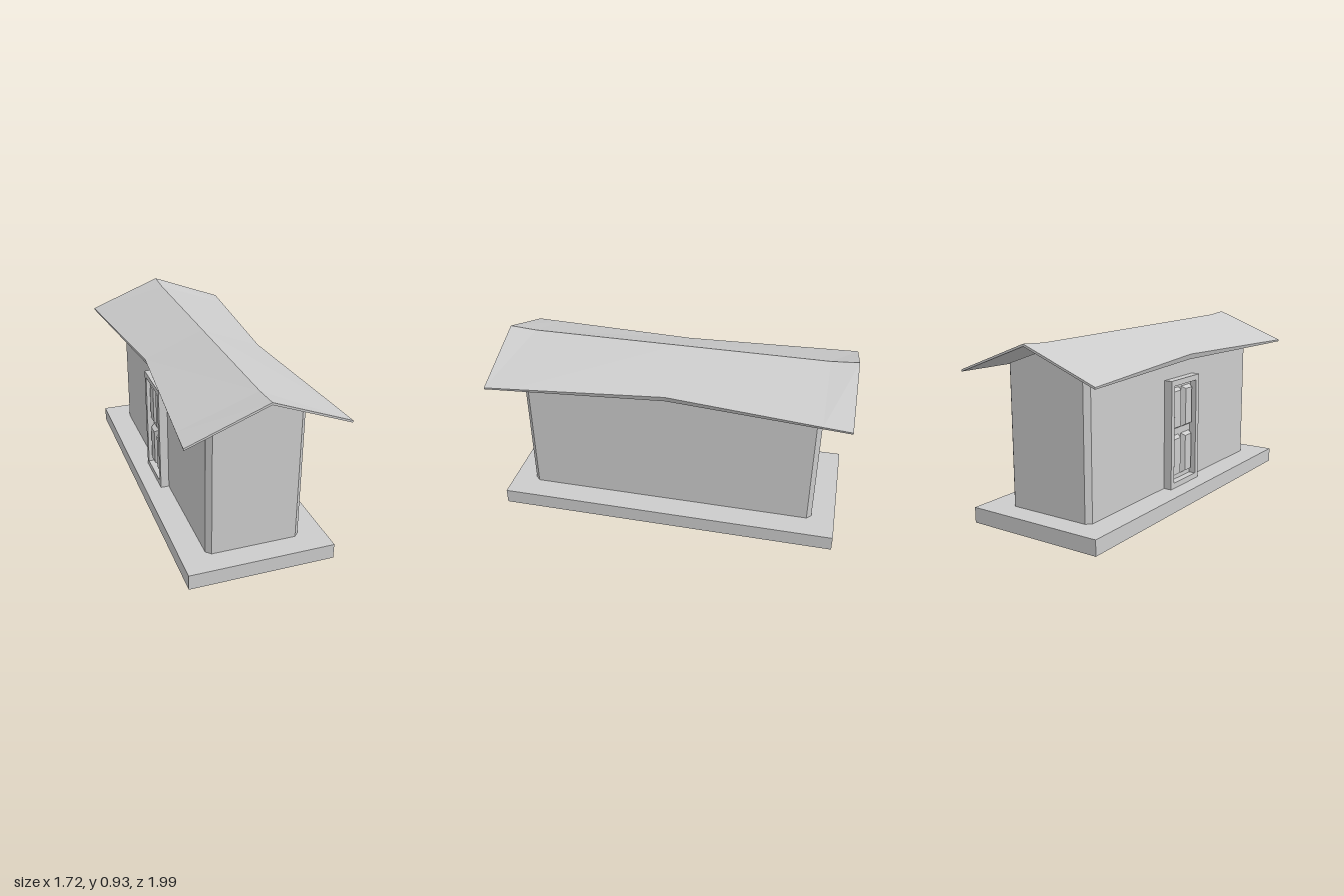
import * as THREE from 'three';
import { ConvexGeometry } from 'three/addons/geometries/ConvexGeometry.js';

const material = new THREE.MeshStandardMaterial({ color: 0xcccccc, flatShading: true });

function add(parent, name, geometry, x = 0, y = 0, z = 0) {
  const mesh = new THREE.Mesh(geometry, material);
  mesh.name = name;
  mesh.position.set(x, y, z);
  parent.add(mesh);
  return mesh;
}

// Walls: rectangle with chamfered corners, rising to a gable along z
function wallsGeometry() {
  const a = 0.246, b = 0.789, c = 0.025, apex = 0.885, slope = 0.36;
  const points = [];
  for (const sx of [-1, 1]) for (const sz of [-1, 1]) {
    for (const [x, z] of [[a, b - c], [a - c, b]]) {
      points.push(new THREE.Vector3(sx * x, 0.07, sz * z));
      points.push(new THREE.Vector3(sx * x, apex - slope * x, sz * z));
    }
  }
  for (const sz of [-1, 1]) points.push(new THREE.Vector3(0, apex, sz * b));
  return new ConvexGeometry(points);
}

// Roof: thin gabled slab lofted along z, its eaves pinched in at mid-length
function roofGeometry() {
  // z, ridge height, top eave (x, y), bottom eave (x, y), ridge thickness
  const end = [0.933, 0.93, 0.402, 0.776, 0.4, 0.766, 0.012];
  const inner = [0.79, 0.92, 0.39, 0.779, 0.386, 0.766, 0.014];
  const middle = [0, 0.92, 0.32, 0.795, 0.31, 0.766, 0.015];
  const flip = ([z, ...rest]) => [-z, ...rest];
  const rings = [flip(end), flip(inner), middle, inner, end].map(
    ([z, ridge, tx, ty, bx, by, t]) => [
      [0, ridge, z], [tx, ty, z], [bx, by, z],
      [0, ridge - t, z], [-bx, by, z], [-tx, ty, z],
    ]);
  const positions = [];
  const quad = (p, q, r, s) => positions.push(...p, ...q, ...r, ...p, ...r, ...s);
  for (let k = 0; k < rings.length - 1; k++) {
    for (let j = 0; j < 6; j++) {
      const n = (j + 1) % 6;
      quad(rings[k][j], rings[k + 1][j], rings[k + 1][n], rings[k][n]);
    }
  }
  const back = rings[0], front = rings[rings.length - 1];
  quad(front[0], front[3], front[2], front[1]);
  quad(front[0], front[5], front[4], front[3]);
  quad(back[0], back[1], back[2], back[3]);
  quad(back[0], back[3], back[4], back[5]);
  const geometry = new THREE.BufferGeometry();
  geometry.setAttribute('position', new THREE.Float32BufferAttribute(positions, 3));
  geometry.computeVertexNormals();
  return geometry;
}

// Raised door panel: box whose outer face shrinks to a bevel
function panelGeometry(w, h, d, bevel) {
  const geometry = new THREE.BoxGeometry(w, h, d);
  const p = geometry.attributes.position;
  for (let i = 0; i < p.count; i++) {
    if (p.getZ(i) > 0) {
      p.setX(i, p.getX(i) - Math.sign(p.getX(i)) * bevel);
      p.setY(i, p.getY(i) - Math.sign(p.getY(i)) * bevel);
    }
  }
  geometry.computeVertexNormals();
  return geometry;
}

// Door facing +z, standing on y = 0
function createDoor() {
  const door = new THREE.Group();
  door.name = 'door';
  const w = 0.28, h = 0.587, t = 0.03, depth = 0.045;

  const outline = new THREE.Shape([
    new THREE.Vector2(-w / 2, 0), new THREE.Vector2(w / 2, 0),
    new THREE.Vector2(w / 2, h), new THREE.Vector2(-w / 2, h),
  ]);
  outline.holes.push(new THREE.Path([
    new THREE.Vector2(-w / 2 + t, t), new THREE.Vector2(-w / 2 + t, h - t),
    new THREE.Vector2(w / 2 - t, h - t), new THREE.Vector2(w / 2 - t, t),
  ]));
  add(door, 'doorFrame', new THREE.ExtrudeGeometry(outline, { depth, bevelEnabled: false }));
  add(door, 'doorLeaf', new THREE.BoxGeometry(w - 2 * t, h - 2 * t, 0.012), 0, h / 2, 0.002);

  // Two by two raised panels
  for (const sx of [-1, 1]) for (const sy of [-1, 1]) {
    add(door, 'doorPanel', panelGeometry(0.09, 0.225, 0.024, 0.014),
      sx * 0.056, h / 2 + sy * 0.13, 0.019);
  }
  return door;
}

export function createModel() {
  const model = new THREE.Group();
  model.name = 'house';

  // The whole house stands turned about the vertical axis
  const house = new THREE.Group();
  house.name = 'turnedHouse';
  house.rotation.y = -0.603;
  model.add(house);

  add(house, 'base', new THREE.BoxGeometry(0.754, 0.08, 1.824), 0, 0.04, 0);
  add(house, 'walls', wallsGeometry());
  add(house, 'roof', roofGeometry());

  const door = createDoor();
  door.rotation.y = -Math.PI / 2;
  door.position.set(-0.246, 0.08, 0.002);
  house.add(door);

  return model;
}
